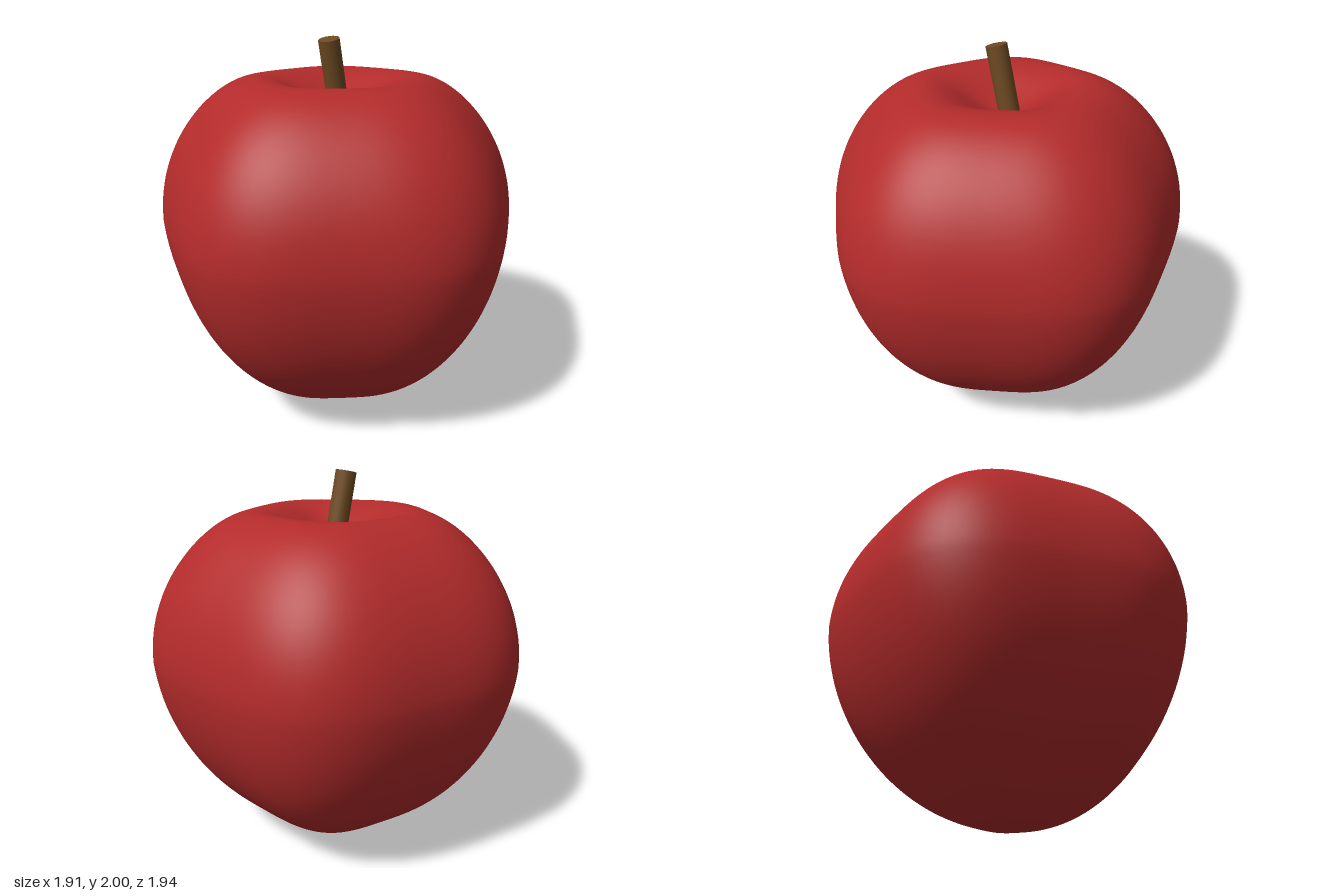
import * as THREE from 'three';
import { mergeVertices } from 'three/addons/utils/BufferGeometryUtils.js';

const skin = new THREE.MeshStandardMaterial({ color: 0xb32b2b });
skin.name = 'red skin';
const wood = new THREE.MeshStandardMaterial({ color: 0x6e4a22 });
wood.name = 'brown stem';

const AXIS_X = -0.035;
const WAIST_Y = 1.04;
const RADIUS = 0.957;

// Fruit body: a lathed round profile with a dimpled top, pushed into five soft lobes
function makeBody() {
  const points = [];
  const steps = 90;
  for (let i = 0; i <= steps; i++) {
    const t = (i / steps - 0.5) * Math.PI;
    const s = Math.sin(t);
    const ring = i === 0 || i === steps ? 0 : RADIUS * Math.cos(t);
    if (s < 0) {
      // lower half narrows a little toward the base
      points.push(new THREE.Vector2(ring * (1 + 0.07 * s), WAIST_Y * (1 + s)));
    } else {
      const dimple = 0.29 * Math.exp(-((ring / 0.32) ** 2));
      points.push(new THREE.Vector2(ring, WAIST_Y + 0.9 * s - dimple));
    }
  }

  let geometry = new THREE.LatheGeometry(points, 120);
  geometry.deleteAttribute('uv');
  geometry.deleteAttribute('normal');
  const pos = geometry.attributes.position;
  for (let i = 0; i < pos.count; i++) {
    const x = pos.getX(i), z = pos.getZ(i);
    const lobe = 1 + 0.037 * Math.cos(5 * Math.atan2(z, x));
    pos.setX(i, x * lobe);
    pos.setZ(i, z * lobe);
  }
  // Weld the seam so the skin shades smoothly all round
  geometry = mergeVertices(geometry, 1e-5);
  geometry.computeVertexNormals();
  const body = new THREE.Mesh(geometry, skin);
  body.name = 'fruitBody';
  body.position.x = AXIS_X;
  return body;
}

// Stem: a short leaning cylinder rooted in the dimple
function makeStem() {
  const base = new THREE.Vector3(-0.015, 1.6, -0.025);
  const tip = new THREE.Vector3(-0.088, 1.99, 0.018);
  const axis = tip.clone().sub(base);
  const stem = new THREE.Mesh(new THREE.CylinderGeometry(0.055, 0.055, axis.length(), 16), wood);
  stem.name = 'stem';
  stem.position.copy(base).add(tip).multiplyScalar(0.5);
  stem.quaternion.setFromUnitVectors(new THREE.Vector3(0, 1, 0), axis.normalize());
  return stem;
}

export function createModel() {
  const model = new THREE.Group();
  model.name = 'apple';
  model.add(makeBody(), makeStem());
  return model;
}
